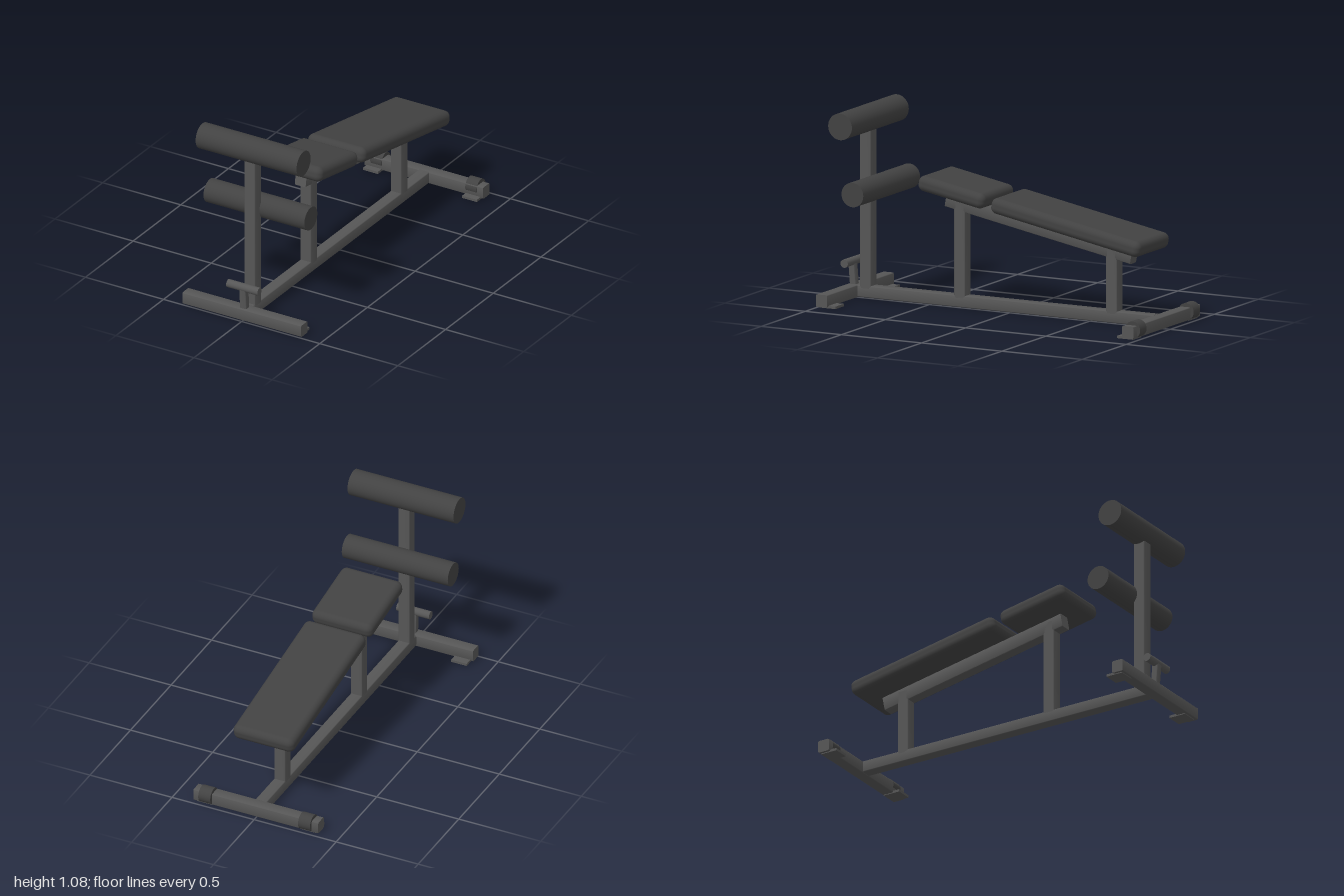
import * as THREE from 'three';
import { RoundedBoxGeometry } from 'three/addons/geometries/RoundedBoxGeometry.js';
import { toCreasedNormals } from 'three/addons/utils/BufferGeometryUtils.js';

const frameMat = new THREE.MeshStandardMaterial({ color: 0x565656 });
const padMat = new THREE.MeshStandardMaterial({ color: 0x424242 });
const TILT = -0.185; // slope of the bench, front end raised

// Rounded rectangular steel bar, centred, running along z
function barGeometry(w, h, length, r = 0.01) {
  const x = w / 2, y = h / 2;
  const s = new THREE.Shape();
  s.moveTo(-x + r, -y);
  s.lineTo(x - r, -y);
  s.quadraticCurveTo(x, -y, x, -y + r);
  s.lineTo(x, y - r);
  s.quadraticCurveTo(x, y, x - r, y);
  s.lineTo(-x + r, y);
  s.quadraticCurveTo(-x, y, -x, y - r);
  s.lineTo(-x, -y + r);
  s.quadraticCurveTo(-x, -y, -x + r, -y);
  const g = new THREE.ExtrudeGeometry(s, { depth: length, bevelEnabled: false, curveSegments: 4 });
  return toCreasedNormals(g.translate(0, 0, -length / 2), 0.7);
}

export function createModel() {
  const model = new THREE.Group();
  model.name = 'sitUpBench';

  const add = (name, geometry, material, x, y, z, tilt = 0) => {
    const mesh = new THREE.Mesh(geometry, material);
    mesh.name = name;
    mesh.position.set(x, y, z);
    mesh.rotation.x = tilt;
    model.add(mesh);
    return mesh;
  };
  const post = (name, y0, y1, z) =>
    add(name, barGeometry(0.07, 0.07, y1 - y0).rotateX(Math.PI / 2), frameMat, 0, (y0 + y1) / 2, z);
  const crossbar = (name, z) =>
    add(name, barGeometry(0.07, 0.07, 0.76).rotateY(Math.PI / 2), frameMat, 0, 0.04, z);
  const roller = (name, r, length, y, z, material, x = 0) =>
    add(name, new THREE.CylinderGeometry(r, r, length, 40).rotateZ(Math.PI / 2), material, x, y, z);

  // Base frame
  add('baseBar', barGeometry(0.07, 0.066, 1.85), frameMat, 0, 0.042, 0.01);
  crossbar('frontCrossbar', 0.965);
  crossbar('rearCrossbar', -0.944);

  // Uprights
  post('rollerPost', 0.06, 1.0, 0.882);
  post('frontSupport', 0.06, 0.61, 0.295);
  post('rearSupport', 0.06, 0.43, -0.652);

  // Sloping bench
  add('benchBar', barGeometry(0.07, 0.082, 1.175), frameMat, 0, 0.494, -0.198, TILT);
  add('backPad', new RoundedBoxGeometry(0.37, 0.089, 0.945, 5, 0.036), padMat, 0, 0.54, -0.438, TILT);
  add('seatPad', new RoundedBoxGeometry(0.37, 0.087, 0.42, 5, 0.036), padMat, 0, 0.672, 0.273, TILT);

  // Foam leg rollers
  roller('upperRoller', 0.074, 0.646, 1.007, 0.88, padMat);
  roller('lowerRoller', 0.068, 0.646, 0.635, 0.803, padMat);

  // Foot peg on a short leaning stem
  add('pegStem', barGeometry(0.042, 0.04, 0.14).rotateX(Math.PI / 2), frameMat, 0, 0.135, 0.973, 0.08);
  roller('footPeg', 0.023, 0.2, 0.2, 0.977, frameMat);

  // Wheels and thin foot plates, mirrored
  for (const [side, s] of [['left', 1], ['right', -1]]) {
    roller(side + 'Wheel', 0.047, 0.073, 0.05, -0.953, padMat, s * 0.304);
    add(side + 'FrontFoot', new THREE.BoxGeometry(0.095, 0.014, 0.1), frameMat, s * 0.317, 0.007, 0.935);
    add(side + 'RearFoot', new THREE.BoxGeometry(0.095, 0.014, 0.1), frameMat, s * 0.317, 0.007, -0.92);
  }

  return model;
}
